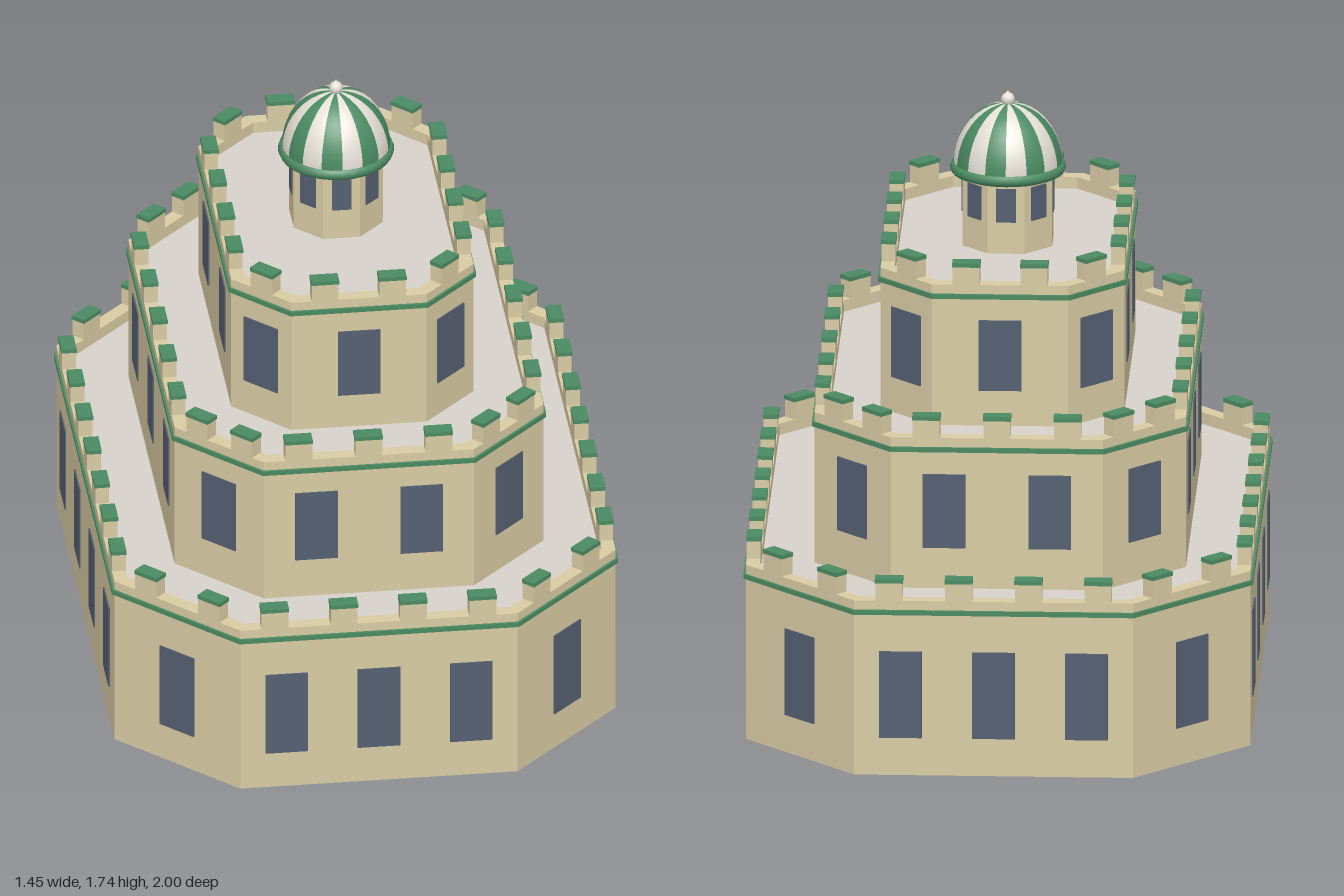
import * as THREE from 'three';

const material = (name, color, side = THREE.FrontSide) => {
  const m = new THREE.MeshStandardMaterial({ color, side });
  m.name = name;
  return m;
};

// Corners of a chamfered rectangle, shrunk by t (grown when t is negative)
function octagon({ x, z, cx, cz }, t = 0) {
  const k = t * (Math.SQRT2 - 1);
  const X = x - t, Z = z - t, a = cx - k, b = cz - k;
  return [[a, Z], [X, b], [X, -b], [a, -Z], [-a, -Z], [-X, -b], [-X, b], [-a, Z]]
    .map(([px, pz]) => new THREE.Vector2(px, pz));
}

// Flat ring between two outlines, lying level with its underside at y = 0
function ring(outer, inner, height) {
  const shape = new THREE.Shape(outer);
  shape.holes.push(new THREE.Path(inner));
  return new THREE.ExtrudeGeometry(shape, { depth: height, bevelEnabled: false }).rotateX(-Math.PI / 2);
}

export function createModel() {
  const stone = material('sandstone', 0xd9cca4, THREE.DoubleSide);
  const roof = material('roofGrey', 0xd6d1ca, THREE.DoubleSide);
  const green = material('green', 0x4a8a62);
  const glass = material('windowBlue', 0x556072);
  const cream = material('cream', 0xe4dfd5);

  const model = new THREE.Group();
  model.name = 'tieredPavilion';

  const add = (parent, name, geometry, mat, x = 0, y = 0, z = 0) => {
    const mesh = new THREE.Mesh(geometry, mat);
    mesh.name = name;
    mesh.position.set(x, y, z);
    parent.add(mesh);
    return mesh;
  };

  // Counts are per [front, chamfer, side] edge
  const tiers = [
    { x: 0.72, z: 0.993, cx: 0.398, cz: 0.671, y0: 0, y1: 0.487, win: [0.112, 0.37], windows: [3, 1, 4], merlons: [4, 2, 7] },
    { x: 0.53, z: 0.762, cx: 0.302, cz: 0.534, y0: 0.487, y1: 0.902, win: [0.608, 0.828], windows: [2, 1, 3], merlons: [3, 2, 5] },
    { x: 0.348, z: 0.532, cx: 0.194, cz: 0.378, y0: 0.902, y1: 1.288, win: [1.007, 1.217], windows: [1, 1, 2], merlons: [2, 1, 4] },
  ];
  const thick = 0.04, lip = 0.034, merlonTop = 0.098, capHeight = 0.012, merlonWidth = 0.077;

  tiers.forEach((t, level) => {
    const tier = new THREE.Group();
    tier.name = `tier${level + 1}`;
    model.add(tier);
    const corners = octagon(t);

    add(tier, 'roofDeck', new THREE.ShapeGeometry(new THREE.Shape(corners)).rotateX(-Math.PI / 2), roof, 0, t.y1, 0);
    add(tier, 'parapet', ring(corners, octagon(t, thick), lip), stone, 0, t.y1, 0);
    add(tier, 'greenBand', ring(octagon(t, -0.007), octagon(t, 0.002), 0.014), green, 0, t.y1 - 0.007, 0);

    // Each edge gets a local frame with +z pointing outwards
    corners.forEach((p, i) => {
      const q = corners[(i + 1) % 8];
      const length = p.distanceTo(q);
      const kind = i % 2 === 0 ? 1 : (i % 4 === 1 ? 2 : 0);
      const edge = new THREE.Group();
      edge.name = 'wallSide';
      edge.position.set((p.x + q.x) / 2, 0, (p.y + q.y) / 2);
      edge.rotation.y = Math.atan2(p.y - q.y, q.x - p.x) + Math.PI;
      // Turn the frame outwards
      const normal = new THREE.Vector2(Math.sin(edge.rotation.y), Math.cos(edge.rotation.y));
      if (normal.x * edge.position.x + normal.y * edge.position.z < 0) edge.rotation.y += Math.PI;
      tier.add(edge);

      add(edge, 'wall', new THREE.PlaneGeometry(length, t.y1 - t.y0), stone, 0, (t.y0 + t.y1) / 2, 0);

      const spread = (n, place) => {
        for (let k = 0; k < n; k++) place(((k + 0.5) / n - 0.5) * length);
      };
      const [w0, w1] = t.win;
      spread(t.windows[kind], (x) =>
        add(edge, 'window', new THREE.BoxGeometry(0.122, w1 - w0, 0.008), glass, x, (w0 + w1) / 2, 0));

      const h = merlonTop - lip - capHeight;
      spread(t.merlons[kind], (x) => {
        add(edge, 'merlon', new THREE.BoxGeometry(merlonWidth, h, thick), stone, x, t.y1 + lip + h / 2, -thick / 2);
        add(edge, 'merlonCap', new THREE.BoxGeometry(merlonWidth + 0.003, capHeight, thick + 0.004), green,
          x, t.y1 + merlonTop - capHeight / 2, -thick / 2);
      });
    });
  });

  // Eight-sided lantern with a window on each face
  const lantern = new THREE.Group();
  lantern.name = 'lantern';
  model.add(lantern);
  const apothem = 0.128, base = 1.288, top = 1.505;
  const drum = new THREE.CylinderGeometry(1, 1, top - base, 8).toNonIndexed();
  drum.rotateY(Math.PI / 8);
  const r = apothem / Math.cos(Math.PI / 8);
  drum.scale(r, 1, r);
  drum.computeVertexNormals();
  add(lantern, 'lanternDrum', drum, stone, 0, (base + top) / 2, 0);
  for (let i = 0; i < 8; i++) {
    const a = (i * Math.PI) / 4;
    const pane = add(lantern, 'lanternWindow', new THREE.BoxGeometry(0.056, 0.1, 0.008), glass,
      Math.sin(a) * apothem, 1.432, Math.cos(a) * apothem);
    pane.rotation.y = a;
  }

  // Striped dome on a green ring, topped by a finial
  add(lantern, 'domeRing', new THREE.TorusGeometry(0.148, 0.018, 8, 32).rotateX(Math.PI / 2), green, 0, 1.511, 0);
  const stripes = 16;
  for (let i = 0; i < stripes; i++) {
    const step = (Math.PI * 2) / stripes;
    const gore = new THREE.SphereGeometry(0.155, 2, 10, i * step, step, 0, Math.PI / 2);
    gore.scale(1, 1.17, 1);
    add(lantern, 'domeStripe', gore, i % 2 ? green : cream, 0, 1.518, 0);
  }
  add(lantern, 'domeUnderside', new THREE.CircleGeometry(0.15, 32).rotateX(Math.PI / 2), stone, 0, 1.508, 0);
  add(lantern, 'finialBall', new THREE.SphereGeometry(0.02, 10, 8), cream, 0, 1.71, 0);
  add(lantern, 'finialTip', new THREE.ConeGeometry(0.014, 0.02, 10), cream, 0, 1.727, 0);

  return model;
}
